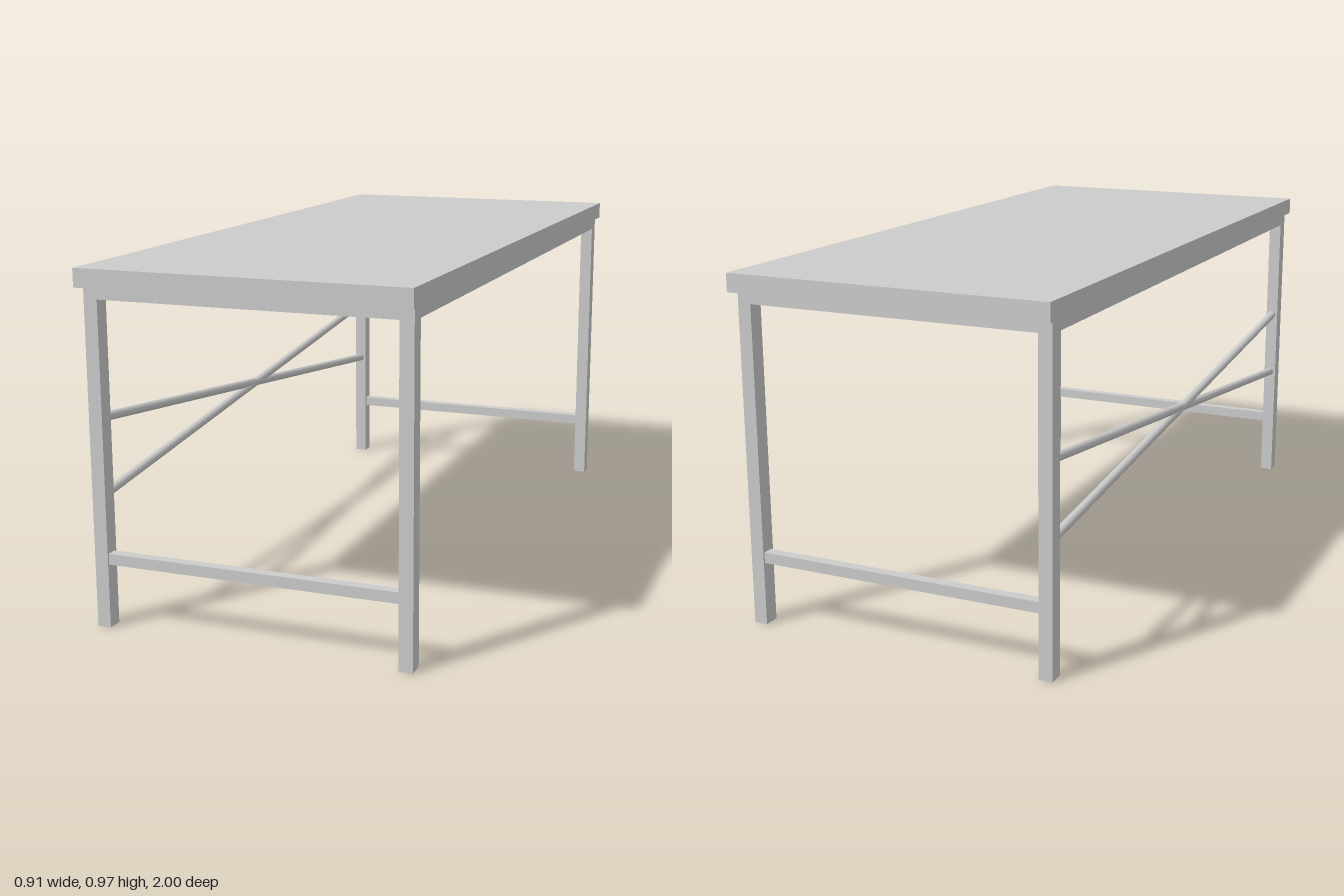
import * as THREE from 'three';

const material = new THREE.MeshStandardMaterial({ color: 0xcccccc });

export function createModel() {
  const model = new THREE.Group();
  model.name = 'workTable';

  function add(name, geometry, x, y, z) {
    const mesh = new THREE.Mesh(geometry, material);
    mesh.name = name;
    mesh.position.set(x, y, z);
    model.add(mesh);
    return mesh;
  }
  const box = (name, w, h, d, x, y, z) =>
    add(name, new THREE.BoxGeometry(w, h, d), x, y, z);

  const legW = 0.038, legD = 0.044, legX = 0.425, legZ = 0.946;
  const topBottom = 0.916, apronH = 0.033, apronT = 0.032;
  const spanX = 2 * legX - legW, spanZ = 2 * legZ - legD;

  // Table top slab
  box('tableTop', 0.906, 0.05, 2, 0, topBottom + 0.025, 0);

  // Legs
  for (const sx of [-1, 1])
    for (const sz of [-1, 1])
      box('leg', legW, topBottom, legD, sx * legX, topBottom / 2, sz * legZ);

  // Apron frame, flush with the outer leg faces, and end stretchers
  const apronY = topBottom - apronH / 2;
  for (const s of [-1, 1]) {
    box('sideApron', apronT, apronH, spanZ, s * (legX + (legW - apronT) / 2), apronY, 0);
    box('endApron', spanX, apronH, apronT, 0, apronY, s * (legZ + (legD - apronT) / 2));
    box('endStretcher', spanX, 0.03, 0.03, 0, 0.19, s * (legZ + 0.002));
  }

  // Crossed round braces on one long side
  const rise = 0.205;
  const length = Math.hypot(spanZ, rise);
  for (const s of [-1, 1]) {
    const brace = add('crossBrace', new THREE.CylinderGeometry(0.0125, 0.0125, length, 16), -legX, 0.464, 0);
    brace.rotation.x = Math.PI / 2 + s * Math.atan2(rise, spanZ);
  }

  return model;
}
